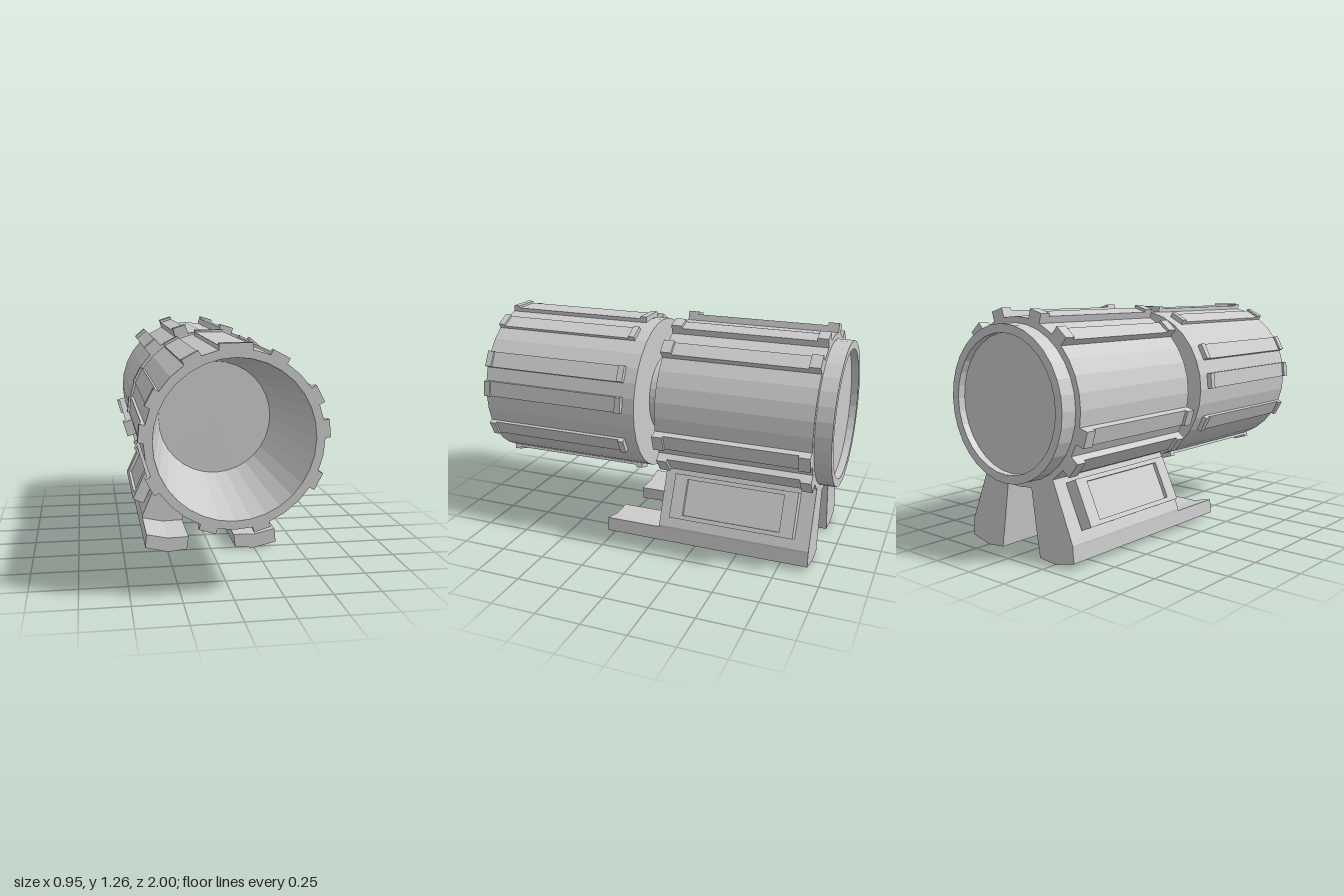
import * as THREE from 'three';

const AXIS_Y = 0.79;
const material = new THREE.MeshStandardMaterial({ color: 0xcccccc, flatShading: true });

function addMesh(parent, name, geometry) {
  const mesh = new THREE.Mesh(geometry, material);
  mesh.name = name;
  parent.add(mesh);
  return mesh;
}

const toShape = (points) => new THREE.Shape(points.map(([x, y]) => new THREE.Vector2(x, y)));

// Solid of revolution about the z axis; profile points are [radius, z]
function turned(points) {
  const geometry = new THREE.LatheGeometry(points.map(([r, z]) => new THREE.Vector2(r, z)), 32);
  return geometry.rotateX(Math.PI / 2);
}

function extruded(shape, depth) {
  return new THREE.ExtrudeGeometry(shape, { depth, bevelEnabled: false });
}

// Cross-section in x and y, pulled along z from z0 to z1
function prism(points, side, z0, z1) {
  const shape = toShape(points.map(([x, y]) => [x * side, y]));
  return extruded(shape, z1 - z0).translate(0, 0, z0);
}

// Lengthwise rib with raised ends, set on the barrel at an angle
function rib(degrees, width, z0, z1, inset0, inset1, outer, floor) {
  const shape = toShape([
    [z0, 0.4], [z1, 0.4], [z1, outer], [z1 - inset1, outer], [z1 - inset1, floor],
    [z0 + inset0, floor], [z0 + inset0, outer], [z0, outer],
  ]);
  const a = THREE.MathUtils.degToRad(degrees);
  const basis = new THREE.Matrix4().makeBasis(
    new THREE.Vector3(0, 0, 1),
    new THREE.Vector3(Math.cos(a), Math.sin(a), 0),
    new THREE.Vector3(-Math.sin(a), Math.cos(a), 0),
  );
  return extruded(shape, width).translate(0, 0, -width / 2).applyMatrix4(basis);
}

function createTube() {
  const tube = new THREE.Group();
  tube.name = 'tube';
  tube.position.y = AXIS_Y;

  // Front barrel with a tapering bore
  addMesh(tube, 'frontBarrel', turned([
    [0, 0.07], [0.432, 0.07], [0.432, 1], [0.39, 1], [0.305, 0.38], [0, 0.38],
  ]));
  addMesh(tube, 'neck', turned([[0.215, -0.06], [0.215, 0.08]]));

  // Rear barrel, with a dished cap at its back
  addMesh(tube, 'rearBarrel', turned([[0, -0.91], [0.432, -0.91], [0.432, -0.05], [0, -0.05]]));
  addMesh(tube, 'rearCap', turned([[0, -0.96], [0.355, -0.96], [0.355, -1], [0.4, -1], [0.4, -0.9]]));

  // Ribs, mirrored across x
  const frontRibs = [[62, 0.09], [28, 0.09], [6, 0.087], [-27.5, 0.09], [-73, 0.085]];
  const rearRibs = [[73, 0.077], [49.5, 0.08], [-16.5, 0.087], [-38, 0.095]];
  const mirrored = (angle) => [angle, 180 - angle];
  addMesh(tube, 'frontRib', rib(90, 0.16, 0.14, 1, 0.035, 0.037, 0.457, 0.445));
  for (const [angle, width] of frontRibs) {
    for (const a of mirrored(angle)) {
      addMesh(tube, 'frontRib', rib(a, width, 0.14, 1, 0.035, 0.037, 0.457, 0.445));
    }
  }
  for (const [angle, width] of rearRibs) {
    for (const a of mirrored(angle)) {
      addMesh(tube, 'rearRib', rib(a, width, -0.91, -0.05, 0.06, 0.06, 0.481, 0.465));
    }
  }
  return tube;
}

function createLeg(side) {
  const leg = new THREE.Group();
  leg.name = side > 0 ? 'leftLeg' : 'rightLeg';

  // Splayed strut and the longer foot under it
  addMesh(leg, 'strut', prism([
    [0.13, 0.07], [0.25, 0.07], [0.37, 0.1], [0.37, 0.12], [0.24, 0.43], [0.21, 0.47], [0.08, 0.41],
  ], side, -0.91, -0.05));
  addMesh(leg, 'foot', prism([
    [0.14, 0.01], [0.25, 0], [0.377, 0.03], [0.37, 0.108], [0.25, 0.082], [0.13, 0.085],
  ], side, -0.91, 0.27));

  // Framed side panel, leaning with the strut
  const basis = new THREE.Matrix4().makeBasis(
    new THREE.Vector3(0, 0, side),
    new THREE.Vector3(-0.423 * side, 0.906, 0),
    new THREE.Vector3(-0.906 * side, -0.423, 0),
  ).setPosition(0.3675 * side, 0.3175, -0.48);
  const rect = (w, h) => [[-w, -h], [w, -h], [w, h], [-w, h]];
  const frame = toShape(rect(0.35, 0.124));
  frame.holes.push(toShape(rect(0.275, 0.1)));
  addMesh(leg, 'panelFrame', extruded(frame, 0.07).applyMatrix4(basis));
  addMesh(leg, 'panelFloor', extruded(toShape(rect(0.28, 0.105)), 0.05)
    .translate(0, 0, 0.02).applyMatrix4(basis));
  return leg;
}

export function createModel() {
  const model = new THREE.Group();
  model.name = 'mountedTube';
  model.add(createTube(), createLeg(1), createLeg(-1));
  return model;
}
